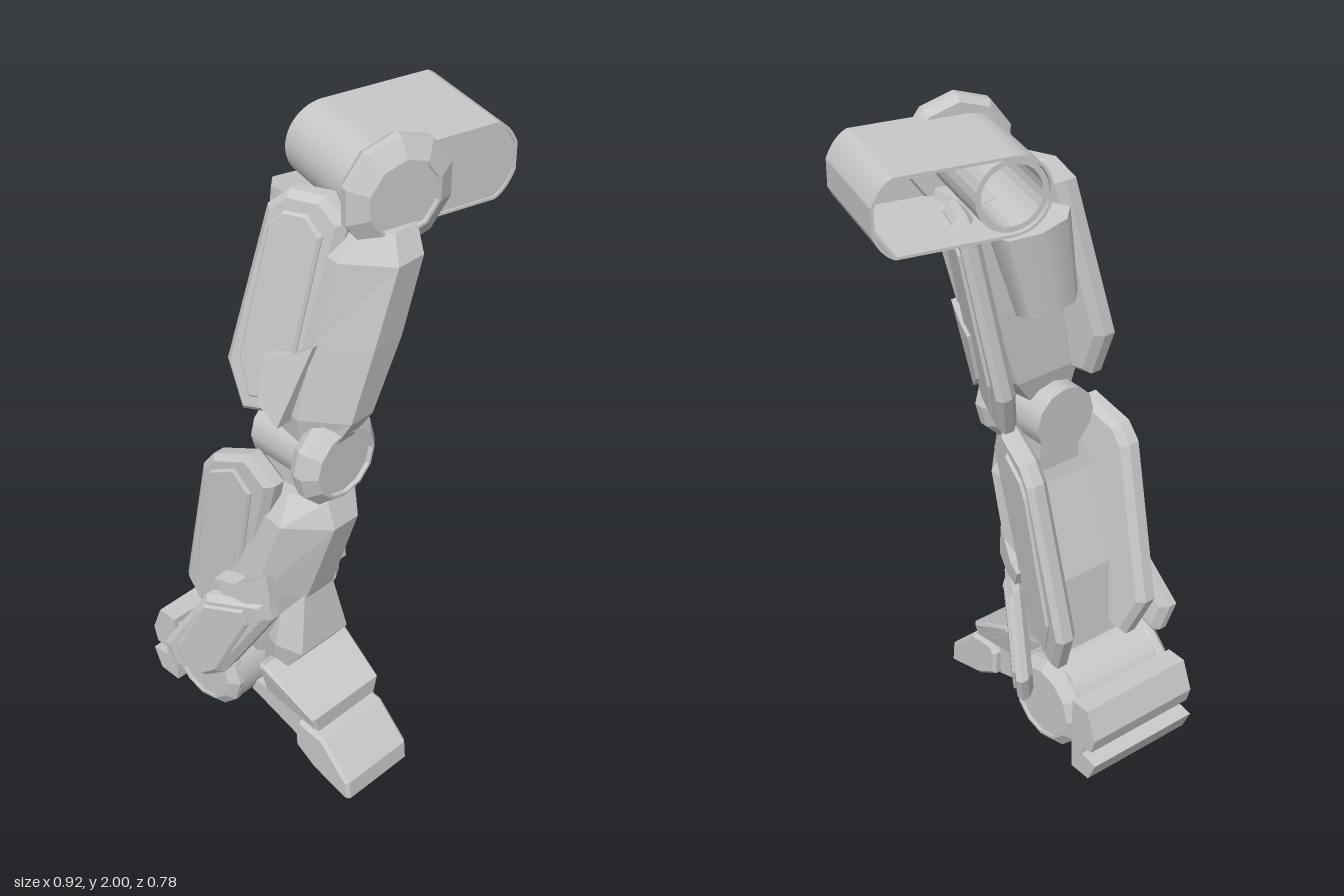
import * as THREE from 'three';

const grey = new THREE.MeshStandardMaterial({ color: 0xc8c8c8 });
grey.name = 'plain grey';

function add(parent, name, geo, pos = [0, 0, 0]) {
  const m = new THREE.Mesh(geo, grey);
  m.name = name;
  m.position.set(...pos);
  parent.add(m);
  return m;
}

// Side outline of [z, y] points, extruded along x and centred on x = 0
function slab(outline, width, bevel = 0) {
  const shape = new THREE.Shape(outline.map(([z, y]) => new THREE.Vector2(z, y)));
  const geo = new THREE.ExtrudeGeometry(shape, {
    depth: width - 2 * bevel, bevelEnabled: bevel > 0, bevelSize: bevel,
    bevelOffset: -bevel, bevelThickness: bevel, bevelSegments: 1,
  });
  geo.translate(0, 0, -(width - 2 * bevel) / 2);
  return geo.rotateY(-Math.PI / 2);
}

// Moves the x of each vertex by a rule
function moveX(geo, rule) {
  const p = geo.attributes.position;
  for (let i = 0; i < p.count; i++) p.setX(i, rule(p.getX(i), p.getY(i), p.getZ(i)));
  geo.computeVertexNormals();
  return geo;
}

// Leaning armour plate with a raised inner panel
function armour(parent, name, outline, thick, side, plane) {
  const g = new THREE.Group();
  g.name = name;
  parent.add(g);
  const n = outline.length;
  const cz = outline.reduce((s, p) => s + p[0], 0) / n;
  const cy = outline.reduce((s, p) => s + p[1], 0) / n;
  const inner = outline.map(([z, y]) => [cz + (z - cz) * 0.66, cy + (y - cy) * 0.84]);
  const lean = (x, y, z) => x + plane(y, z);
  add(g, name + 'Shell', moveX(slab(outline, thick, 0.018), lean));
  add(g, name + 'Panel', moveX(slab(inner, 0.016, 0.006).translate(side * (thick / 2 + 0.002), 0, 0), lean));
}

// Six-sided faceted body from rows of [y, centreX, stripHalf, half, frontZ, flankZ, backZ]
function body(rows) {
  const rings = rows.map(([y, c, s, w, f, m, b]) => [
    [c - s, y, f], [c + s, y, f], [c + w, y, m], [c + w * 0.85, y, b], [c - w * 0.85, y, b], [c - w, y, m]]);
  const v = [];
  const quad = (a, b, c, d) => v.push(...a, ...b, ...c, ...a, ...c, ...d);
  for (let i = 0; i + 1 < rings.length; i++) {
    const lo = rings[i], hi = rings[i + 1];
    for (let k = 0; k < 6; k++) {
      const j = (k + 1) % 6;
      quad(lo[k], lo[j], hi[j], hi[k]);
    }
  }
  const lo = rings[0], hi = rings[rings.length - 1];
  for (let k = 1; k < 5; k++) {
    v.push(...hi[0], ...hi[k], ...hi[k + 1], ...lo[0], ...lo[k + 1], ...lo[k]);
  }
  const geo = new THREE.BufferGeometry();
  geo.setAttribute('position', new THREE.Float32BufferAttribute(v, 3));
  geo.computeVertexNormals();
  return geo;
}

// Faceted joint disc along z, bevelled towards +z, with a recessed face
function disc(r, face, depth, sides) {
  const profile = [[0, 0], [r * 0.9, 0], [r, depth * 0.3], [r, depth * 0.6], [face * 1.08, depth], [face, depth], [face, depth * 0.85], [0, depth * 0.85]];
  const geo = new THREE.LatheGeometry(profile.map(([x, y]) => new THREE.Vector2(x, y)), sides)
    .toNonIndexed().rotateX(Math.PI / 2);
  geo.computeVertexNormals();
  return geo;
}

// Slot shape: round at the sleeve end, blunt at the outer end
function slot(half, r, Type) {
  const s = new Type();
  s.moveTo(-half, -r);
  s.lineTo(half + r * 0.45, -r);
  s.quadraticCurveTo(half + r * 0.8, -r * 0.85, half + r, -r * 0.35);
  s.lineTo(half + r, r * 0.35);
  s.quadraticCurveTo(half + r * 0.8, r * 0.85, half + r * 0.45, r);
  s.lineTo(-half, r);
  s.absarc(-half, 0, r, Math.PI / 2, Math.PI * 1.5, false);
  return s;
}

export function createModel() {
  const model = new THREE.Group();
  model.name = 'leg';
  const mid = -0.157;

  // Foot
  add(model, 'toe', slab([[0.38, 0], [0.39, 0.01], [0.385, 0.07], [0.28, 0.175], [0.185, 0.185], [0.165, 0.16], [0.17, 0.08], [0.245, 0.035]], 0.25, 0.01), [-0.16, 0, 0]);
  add(model, 'instep', moveX(slab([[0.255, 0.185], [0.255, 0.24], [0.07, 0.345], [0.045, 0.335], [0.05, 0.22]], 0.31, 0.01),
    (x, y) => x * (0.78 + 0.22 * Math.min(1, (y - 0.185) / 0.13))), [mid, 0, 0]);
  add(model, 'sole', slab([[0.165, 0.185], [0.165, 0.08], [-0.04, 0.14], [-0.04, 0.185]], 0.2), [mid, 0, 0]);
  add(model, 'heel', slab([[-0.285, 0.31], [-0.35, 0.31], [-0.385, 0.22], [-0.37, 0.17], [-0.33, 0.17], [-0.33, 0.14],
    [-0.39, 0.13], [-0.36, 0.065], [-0.285, 0.065]], 0.375), [-0.155, 0, 0]);

  // Ankle barrel with a bevelled disc on each end
  add(model, 'ankleBarrel', new THREE.CylinderGeometry(0.14, 0.14, 0.34, 32).rotateZ(Math.PI / 2), [-0.155, 0.225, -0.155]);
  for (const side of [-1, 1]) {
    const d = add(model, 'ankleDisc', disc(0.145, 0.108, 0.06, 12), [-0.155 + side * 0.14, 0.225, -0.157]);
    d.rotation.y = side * Math.PI / 2;
  }

  // Shin
  add(model, 'shinBody', body([
    [0.33, mid, 0.05, 0.11, 0.05, 0, -0.16],
    [0.6, -0.155, 0.05, 0.165, 0.145, 0.04, -0.13],
    [0.88, -0.14, 0.045, 0.145, 0.23, 0.12, -0.03],
    [0.96, -0.13, 0.05, 0.1, 0.2, 0.1, -0.01],
  ]));
  add(model, 'shinGuard', body([
    [0.29, mid, 0.09, 0.1, 0.08, 0.05, 0],
    [0.41, mid, 0.09, 0.115, 0.165, 0.08, 0.02],
    [0.6, mid, 0.055, 0.07, 0.14, 0.08, 0.03],
  ]));
  const shinPlate = [[0.09, 1.0], [0.02, 1.085], [-0.1, 1.035], [-0.14, 0.98], [-0.255, 0.5], [-0.2, 0.365], [-0.12, 0.39], [-0.04, 0.5]];
  const anklePlate = [[0.085, 0.52], [0.075, 0.585], [-0.07, 0.59], [-0.19, 0.37], [-0.17, 0.28], [-0.1, 0.245], [-0.05, 0.27]];
  for (const side of [-1, 1]) {
    const label = side > 0 ? 'left' : 'right';
    armour(model, label + 'ShinPlate', shinPlate, 0.07, side,
      (y, z) => -0.13 + side * (0.135 - 0.22 * (z + 0.06) + 0.09 * (y - 0.75)));
    armour(model, label + 'AnklePlate', anklePlate, 0.06, side,
      (y, z) => mid + side * (0.19 - 0.68 * (z + 0.04) + 0.08 * (y - 0.42)));
    // Small wedge joining plate and body
    add(model, label + 'ShinFin', moveX(slab([[0.09, 0.7], [0, 0.64], [-0.06, 0.64], [-0.03, 0.56], [0.1, 0.6]], 0.05),
      (x, y, z) => x + mid + side * (0.165 - 0.4 * z)));
  }

  // Knee
  add(model, 'kneeBarrel', new THREE.CylinderGeometry(0.1, 0.1, 0.22, 12).rotateX(Math.PI / 2), [-0.13, 1.08, 0.065]);
  add(model, 'kneeDisc', disc(0.14, 0.098, 0.085, 12), [-0.13, 1.075, 0.135]);
  add(model, 'kneeBlock', new THREE.BoxGeometry(0.14, 0.12, 0.16), [-0.13, 0.97, 0.06]);

  // Thigh
  add(model, 'thighBody', body([
    [1.13, -0.13, 0.03, 0.08, 0.2, 0.12, 0.02],
    [1.22, -0.1, 0.04, 0.125, 0.245, 0.13, 0],
    [1.45, -0.045, 0.05, 0.14, 0.28, 0.15, 0.01],
    [1.69, 0, 0.045, 0.14, 0.31, 0.19, 0.03],
    [1.76, 0.02, 0.04, 0.1, 0.27, 0.2, 0.06],
  ]));
  const thighPlate = [[0.18, 1.7], [0.12, 1.76], [0.03, 1.76], [-0.02, 1.71], [-0.09, 1.25], [-0.04, 1.11], [0.06, 1.12], [0.11, 1.2]];
  armour(model, 'leftThighPlate', thighPlate, 0.065, 1, (y, z) => 0.095 - 0.38 * (z - 0.04) + 0.19 * (y - 1.43));
  armour(model, 'rightThighPlate', thighPlate.map(([z, y]) => [z, y + 0.08]), 0.07, -1,
    (y, z) => -0.165 + 0.42 * (z - 0.04) + 0.13 * (y - 1.53));
  for (const side of [-1, 1]) {
    add(model, side > 0 ? 'leftThighFin' : 'rightThighFin',
      moveX(slab([[0.16, 1.45], [0.1, 1.41], [0.04, 1.4], [0.04, 1.26], [0.1, 1.2]], 0.05),
        (x, y, z) => x - 0.055 + side * (0.15 - 0.4 * (z - 0.1)) + 0.2 * (y - 1.4)));
  }

  // Tapered pod behind the thigh
  const pod = add(model, 'rearPod', new THREE.CylinderGeometry(0.115, 0.09, 0.25, 8).scale(1, 1, 0.65), [0, 1.62, -0.08]);
  pod.rotation.set(0, -0.26, -0.2);

  // Hip housing: hollow slot closed at the front, with a sleeve and front disc
  const hip = new THREE.Group();
  hip.name = 'hip';
  hip.position.set(0.225, 1.84, -0.065);
  hip.rotation.y = -0.26;
  model.add(hip);
  const ring = slot(0.133, 0.11, THREE.Shape);
  ring.holes.push(slot(0.133, 0.102, THREE.Path));
  const flat = { bevelEnabled: false, curveSegments: 12 };
  add(hip, 'hipHousing', new THREE.ExtrudeGeometry(ring, { ...flat, depth: 0.33 }));
  add(hip, 'hipFront', new THREE.ExtrudeGeometry(slot(0.133, 0.105, THREE.Shape), { ...flat, depth: 0.02 }), [0, 0, 0.305]);
  const sleeve = new THREE.Shape().absarc(0, 0, 0.1, 0, Math.PI * 2, false);
  sleeve.holes.push(new THREE.Path().absarc(0, 0, 0.085, 0, Math.PI * 2, false));
  add(hip, 'hipSleeve', new THREE.ExtrudeGeometry(sleeve, { ...flat, depth: 0.295 }), [-0.133, 0, 0.01]);
  add(hip, 'hipDisc', disc(0.16, 0.1, 0.08, 10), [-0.113, 0, 0.295]);

  return model;
}
